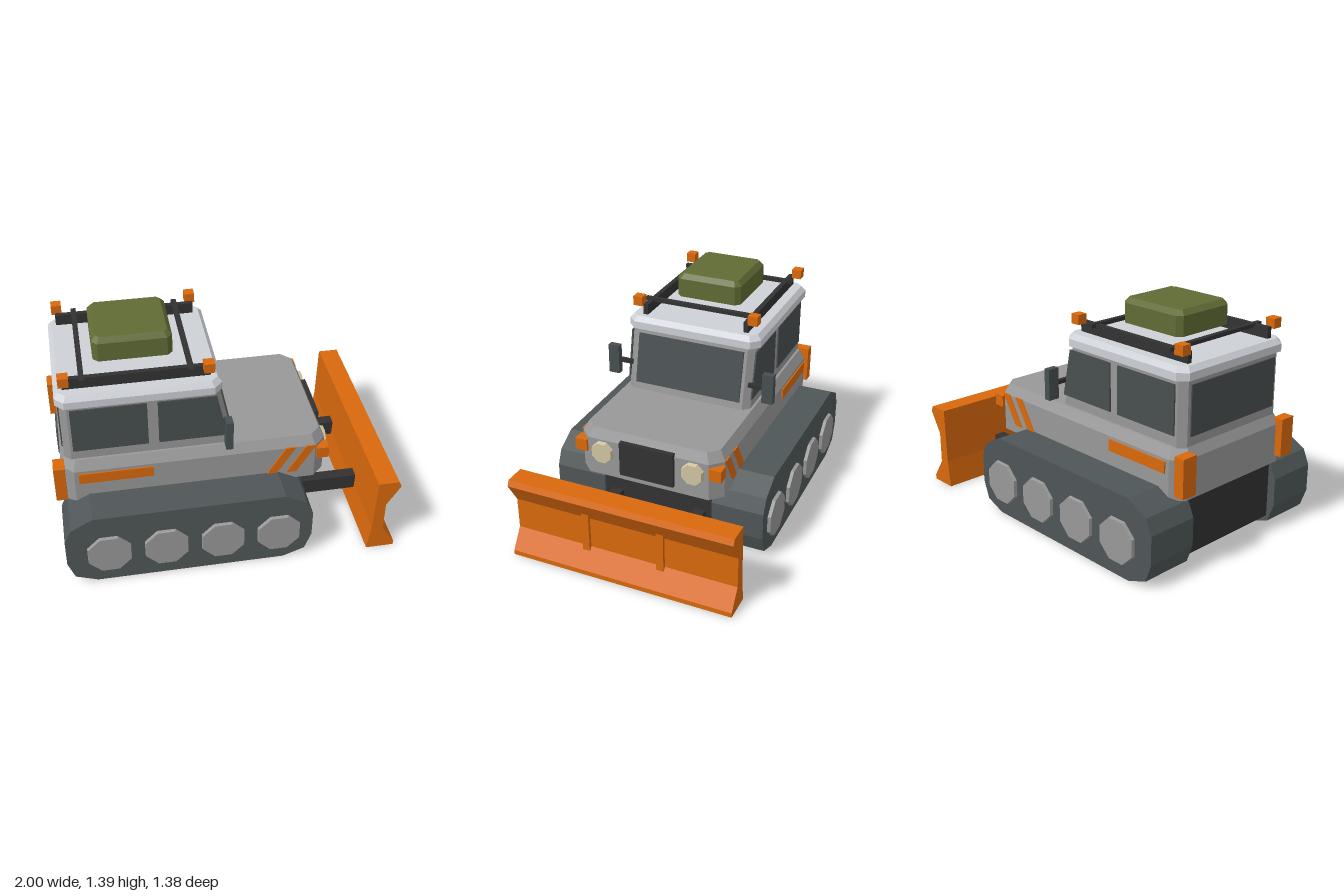
import * as THREE from 'three';

const mat = (name, color) => {
  const m = new THREE.MeshStandardMaterial({ color });
  m.name = name;
  m.flatShading = true;
  return m;
};

export function createModel() {
  const grey = mat('bodyGrey', 0x989898);
  const pale = mat('roofPale', 0xcdd0d6);
  const glass = mat('glassDark', 0x484e50);
  const rubber = mat('trackRubber', 0x4f5657);
  const black = mat('blackMetal', 0x323233);
  const orange = mat('safetyOrange', 0xd9690c);
  const cream = mat('lampCream', 0xd0c5a0);
  const olive = mat('cargoOlive', 0x606b34);

  const root = new THREE.Group();
  root.name = 'trackedPlough';

  const add = (name, geo, material, x = 0, y = 0, z = 0) => {
    const m = new THREE.Mesh(geo, material);
    m.name = name;
    m.position.set(x, y, z);
    root.add(m);
    return m;
  };

  // box given by its extents
  const box = (name, material, x0, x1, y0, y1, z0, z1) =>
    add(name, new THREE.BoxGeometry(x1 - x0, y1 - y0, z1 - z0), material,
      (x0 + x1) / 2, (y0 + y1) / 2, (z0 + z1) / 2);

  // side profile extruded along z
  const profile = (name, material, pts, z0, z1) => {
    const shape = new THREE.Shape(pts.map(([x, y]) => new THREE.Vector2(x, y)));
    const geo = new THREE.ExtrudeGeometry(shape, { depth: z1 - z0, bevelEnabled: false });
    return add(name, geo, material, 0, 0, z0);
  };

  // the same between z0 and z1 on either side
  const side = (s, z0, z1) => (s > 0 ? [z0, z1] : [-z1, -z0]);

  // stack of rectangles with cut corners: [y, x0, x1, halfDepth, corner]
  const loft = (name, material, levels) => {
    const rings = levels.map(([y, x0, x1, z, c]) => [
      [x1, y, c - z], [x1, y, z - c], [x1 - c, y, z], [x0 + c, y, z],
      [x0, y, z - c], [x0, y, c - z], [x0 + c, y, -z], [x1 - c, y, -z]]);
    const v = [];
    const tri = (...p) => p.forEach((q) => v.push(...q));
    for (let r = 0; r < rings.length - 1; r++) {
      for (let i = 0; i < 8; i++) {
        const j = (i + 1) % 8;
        const lo = rings[r], hi = rings[r + 1];
        tri(lo[i], hi[i], lo[j]);
        tri(lo[j], hi[i], hi[j]);
      }
    }
    const bottom = rings[0], top = rings[rings.length - 1];
    for (let i = 1; i < 7; i++) {
      tri(bottom[0], bottom[i], bottom[i + 1]);
      tri(top[0], top[i + 1], top[i]);
    }
    const geo = new THREE.BufferGeometry();
    geo.setAttribute('position', new THREE.Float32BufferAttribute(v, 3));
    geo.computeVertexNormals();
    return add(name, geo, material);
  };

  // chassis, hull, cab and roof
  box('chassis', black, -0.93, 0.46, 0.08, 0.47, -0.36, 0.36);
  loft('hull', grey, [
    [0.43, -0.955, 0.6, 0.45, 0.07],
    [0.665, -0.955, 0.6, 0.45, 0.07],
    [0.725, -0.93, 0.57, 0.415, 0.06]]);
  loft('cab', grey, [
    [0.72, -0.93, 0.05, 0.4, 0.04],
    [1.11, -0.93, -0.03, 0.4, 0.04]]);
  loft('roof', pale, [
    [1.1, -0.95, -0.015, 0.425, 0.05],
    [1.145, -0.95, -0.015, 0.425, 0.05],
    [1.175, -0.925, -0.04, 0.4, 0.04]]);

  // windscreen and rear window
  const screen = add('windscreen', new THREE.BoxGeometry(0.016, 0.31, 0.68), glass, 0.011, 0.922, 0);
  screen.rotation.z = Math.atan(0.08 / 0.39);
  box('rearWindow', glass, -0.938, -0.929, 0.78, 1.07, -0.34, 0.34);

  // grille
  box('grille', black, 0.59, 0.62, 0.47, 0.685, -0.17, 0.17);

  // plough blade
  profile('blade', orange, [
    [0.83, 0], [1, 0], [1, 0.03], [0.92, 0.15], [0.92, 0.345],
    [1, 0.48], [0.985, 0.515], [0.86, 0.515], [0.85, 0.17]], -0.69, 0.69);

  const trackShape = [
    [-0.81, 0], [0.31, 0], [0.44, 0.05], [0.48, 0.16], [0.48, 0.33],
    [0.44, 0.42], [0.31, 0.49], [-0.81, 0.49], [-0.94, 0.42],
    [-0.98, 0.33], [-0.98, 0.16], [-0.94, 0.05]];

  for (const s of [1, -1]) {
    // track with its road wheels
    profile('track', rubber, trackShape, ...side(s, 0.35, 0.67));
    for (let i = 0; i < 4; i++) {
      const geo = new THREE.CylinderGeometry(0.134, 0.142, 0.04, 8);
      geo.rotateY(Math.PI / 8).rotateX(s * Math.PI / 2);
      add('roadWheel', geo, grey, -0.73 + i * 0.335, 0.215, s * 0.67);
    }

    // side windows
    const pane = side(s, 0.399, 0.408);
    profile('rearSideWindow', glass,
      [[-0.875, 0.785], [-0.445, 0.785], [-0.445, 1.072], [-0.875, 1.072]], ...pane);
    profile('frontSideWindow', glass,
      [[-0.385, 0.785], [0.01, 0.785], [-0.05, 1.072], [-0.385, 1.072]], ...pane);

    // orange side markings
    const mark = side(s, 0.449, 0.458);
    profile('sideStripe', orange,
      [[-0.86, 0.58], [-0.43, 0.58], [-0.43, 0.648], [-0.86, 0.648]], ...mark);
    for (const x of [0.24, 0.36]) {
      profile('slantedStripe', orange,
        [[x, 0.485], [x + 0.06, 0.485], [x + 0.173, 0.67], [x + 0.113, 0.67]], ...mark);
    }

    // lamps
    box('tailLamp', orange, -1, -0.935, 0.475, 0.705, ...side(s, 0.36, 0.46));
    box('indicator', orange, 0.54, 0.612, 0.572, 0.645, ...side(s, 0.385, 0.46));
    const lamp = new THREE.CylinderGeometry(0.066, 0.074, 0.035, 8);
    lamp.rotateY(Math.PI / 8).rotateZ(-Math.PI / 2);
    add('headlight', lamp, cream, 0.608, 0.587, s * 0.285);

    // mirror on its stalk
    box('mirrorArm', black, -0.012, 0.012, 0.865, 0.89, ...side(s, 0.38, 0.48));
    box('mirror', glass, -0.02, 0.02, 0.785, 0.972, ...side(s, 0.47, 0.54));

    // blade arm and rib
    box('bladeArm', black, 0.4, 0.86, 0.15, 0.25, ...side(s, 0.235, 0.305));
    profile('bladeRib', orange,
      [[0.9, 0.13], [0.94, 0.13], [0.94, 0.39], [0.9, 0.39]], ...side(s, 0.21, 0.255));

    // roof rack rail and corner beacons
    box('rackRail', black, -0.9, -0.075, 1.17, 1.24, ...side(s, 0.31, 0.34));
    for (const x of [-0.89, -0.09]) {
      box('beacon', orange, x - 0.03, x + 0.03, 1.23, 1.288, ...side(s, 0.34, 0.4));
    }
  }

  // rack crossbars and cargo
  for (const x of [-0.79, -0.185]) {
    box('rackCrossbar', black, x - 0.015, x + 0.015, 1.222, 1.245, -0.37, 0.37);
  }
  loft('cargo', olive, [
    [1.245, -0.715, -0.265, 0.207, 0.03],
    [1.36, -0.715, -0.265, 0.207, 0.03],
    [1.39, -0.69, -0.29, 0.182, 0.02]]);

  return root;
}
